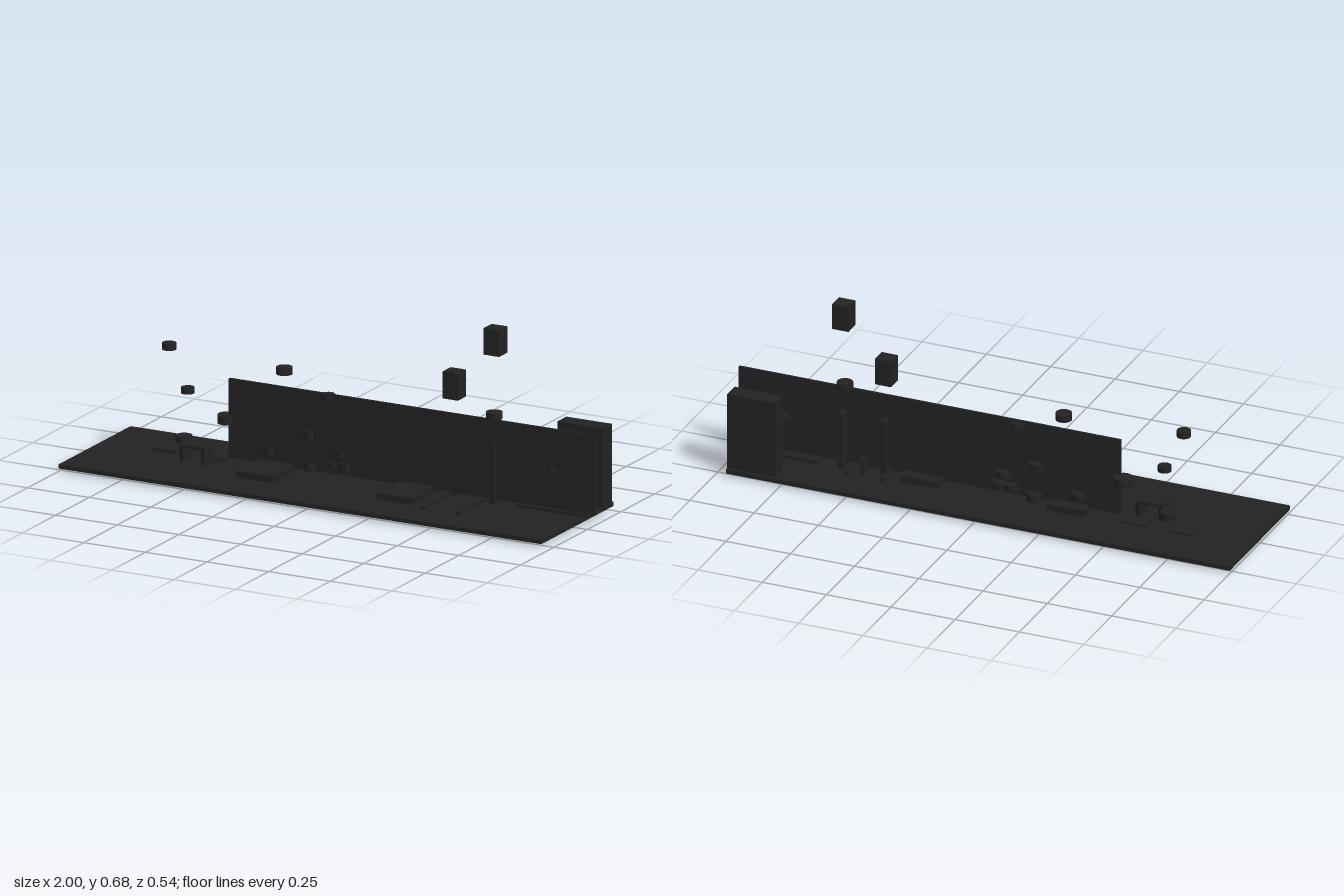
import * as THREE from 'three';

export function createModel() {
  const group = new THREE.Group();
  const charcoal = new THREE.MeshStandardMaterial({ color: 0x222222 });
  charcoal.name = 'charcoal';

  // Box given by its low and high limits on each axis
  function box(name, x0, x1, y0, y1, z0, z1) {
    const mesh = new THREE.Mesh(new THREE.BoxGeometry(x1 - x0, y1 - y0, z1 - z0), charcoal);
    mesh.position.set((x0 + x1) / 2, (y0 + y1) / 2, (z0 + z1) / 2);
    mesh.name = name;
    group.add(mesh);
  }

  // Upright disc given by centre, radius and height limits
  function disc(name, x, z, r, y0, y1) {
    const mesh = new THREE.Mesh(new THREE.CylinderGeometry(r, r, y1 - y0, 16), charcoal);
    mesh.position.set(x, (y0 + y1) / 2, z);
    mesh.name = name;
    group.add(mesh);
  }

  // Ground slab with two plates below it
  box('baseSlab', -1, 0.96, 0.011, 0.026, -0.27, 0.27);
  box('largeUnderPlate', 0.41, 0.54, 0, 0.011, -0.135, 0.135);
  box('smallUnderPlate', -0.14, -0.03, 0, 0.011, -0.05, 0.05);

  // Long thin wall and corner tower
  box('longWall', -0.485, 1, 0.04, 0.335, -0.064, -0.054);
  box('cornerTower', 0.775, 0.96, 0.026, 0.32, -0.257, -0.19);

  // Floating blocks
  box('lowerFloatingBlock', 0.39, 0.453, 0.39, 0.49, -0.102, -0.04);
  box('upperFloatingBlock', 0.556, 0.62, 0.577, 0.675, -0.102, -0.04);

  // Posts behind the wall
  box('tallPost', 0.58, 0.6, 0.026, 0.247, -0.1, -0.04);
  box('narrowPost', 0.412, 0.432, 0.026, 0.247, -0.1, -0.066);
  box('shortPost', 0.492, 0.507, 0.026, 0.085, -0.115, -0.08);

  // Low platforms and floor strips
  for (const x of [-0.364, 0.203]) box('platform', x, x + 0.148, 0.026, 0.052, -0.112, 0.11);
  for (const x of [0.4, 0.54]) box('floorStrip', x, x + 0.018, 0.026, 0.04, -0.14, 0.14);
  box('floorPlate', -0.79, -0.69, 0.026, 0.034, -0.1, -0.045);
  box('floorPlate', -0.6, -0.5, 0.026, 0.034, -0.1, -0.045);
  box('endPlate', 0.68, 0.975, 0.026, 0.036, -0.1, -0.05);

  // Small table
  box('tableTop', -0.635, -0.54, 0.08, 0.092, -0.035, 0.037);
  for (const x of [-0.628, -0.54]) {
    for (const z of [-0.016, 0.018]) disc('tableLeg', x, z, 0.015, 0.026, 0.08);
  }

  // Floating and stacked discs: x, radius, bottom, top
  const discs = [
    [-0.735, 0.026, 0.404, 0.428], [-0.66, 0.025, 0.252, 0.273],
    [-0.5, 0.035, 0.163, 0.195], [-0.675, 0.031, 0.068, 0.092],
    [-0.325, 0.028, 0.075, 0.1], [-0.268, 0.03, 0.379, 0.405],
    [-0.163, 0.028, 0.155, 0.185], [-0.155, 0.03, 0.037, 0.065],
    [-0.09, 0.025, 0.308, 0.33], [-0.065, 0.028, 0.06, 0.085],
    [-0.035, 0.028, 0.106, 0.13], [-0.018, 0.032, 0.06, 0.087],
    [0.583, 0.03, 0.335, 0.36], [0.825, 0.027, 0.168, 0.192],
  ];
  for (const [x, r, y0, y1] of discs) disc('disc', x, -0.071, r, y0, y1);

  return group;
}
